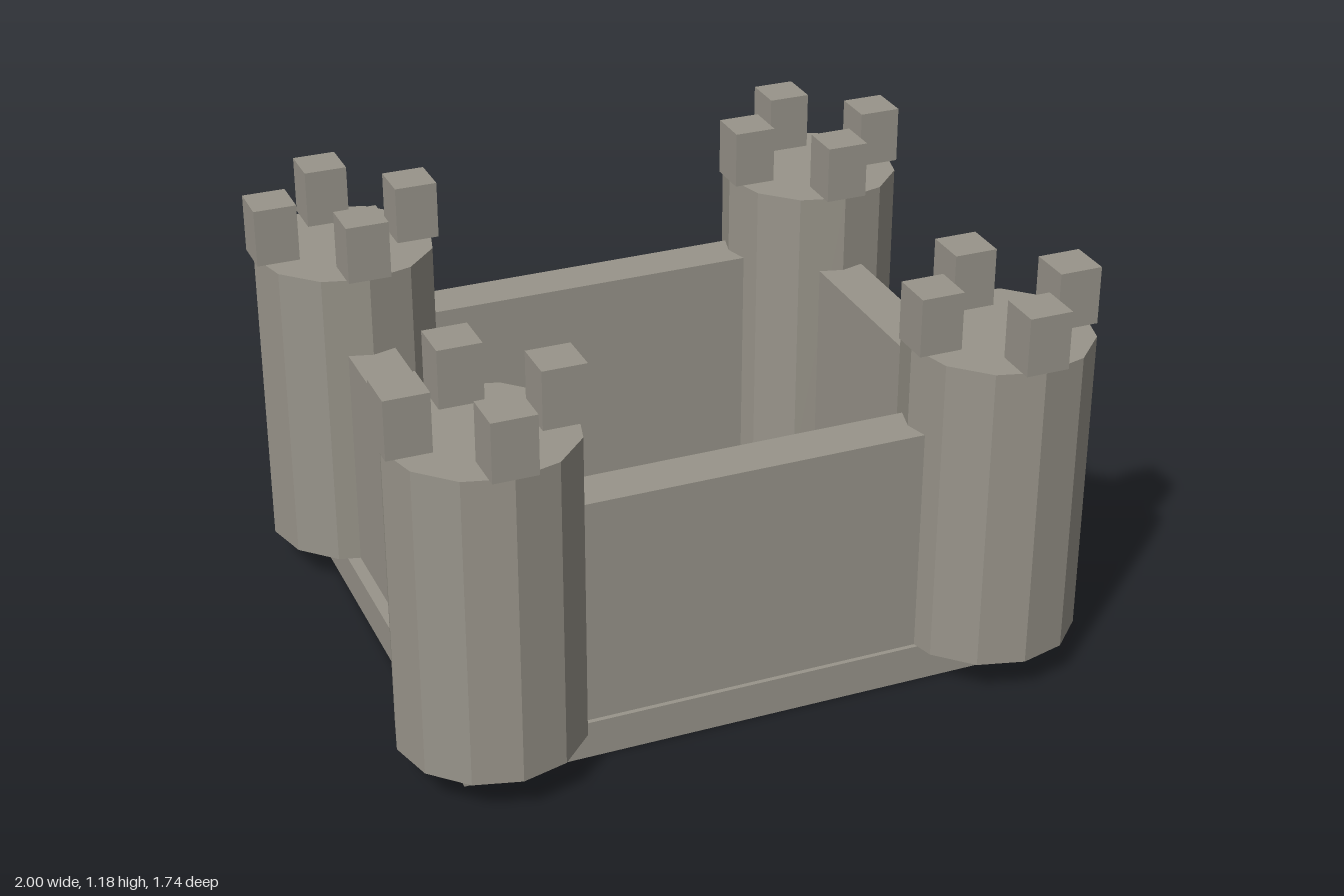
import * as THREE from 'three';

export function createModel() {
  const castle = new THREE.Group();
  castle.name = 'castle';
  const stone = new THREE.MeshStandardMaterial({ color: 0x98948a, flatShading: true });
  stone.name = 'stone';

  const BASE = 0.11, WALL_TOP = 0.775, TOWER_TOP = 1.01, MERLON_TOP = 1.177;
  const TX = 0.733, TZ = 0.602; // tower centres

  // Box standing on y0, reaching up to y1
  function block(name, w, d, y0, y1, x, z, parent) {
    const mesh = new THREE.Mesh(new THREE.BoxGeometry(w, y1 - y0, d), stone);
    mesh.position.set(x, (y0 + y1) / 2, z);
    mesh.name = name;
    parent.add(mesh);
  }

  // Base slab
  block('baseSlab', 1.676, 1.364, 0, BASE, 0, 0, castle);

  // Curtain walls, their ends buried in the towers
  for (const s of [1, -1]) {
    block(s > 0 ? 'frontWall' : 'backWall', TX * 2, 0.137, BASE, WALL_TOP, 0, s * 0.6, castle);
    block(s > 0 ? 'leftWall' : 'rightWall', 0.138, TZ * 2, BASE, WALL_TOP, s * TX, 0, castle);
  }

  // Twelve-sided corner towers, each with four merlons
  for (const sx of [1, -1]) {
    for (const sz of [1, -1]) {
      const tower = new THREE.Group();
      tower.name = (sz > 0 ? 'front' : 'back') + (sx > 0 ? 'Left' : 'Right') + 'Tower';
      tower.position.set(sx * TX, 0, sz * TZ);

      const shaft = new THREE.Mesh(
        new THREE.CylinderGeometry(0.261, 0.261, TOWER_TOP - BASE, 12), stone);
      shaft.position.y = (TOWER_TOP + BASE) / 2;
      shaft.name = 'towerShaft';
      tower.add(shaft);

      for (const [x, z] of [[1, 0], [-1, 0], [0, 1], [0, -1]]) {
        block('merlon', 0.123, 0.123, TOWER_TOP, MERLON_TOP, x * 0.2055, z * 0.2055, tower);
      }
      castle.add(tower);
    }
  }
  return castle;
}
